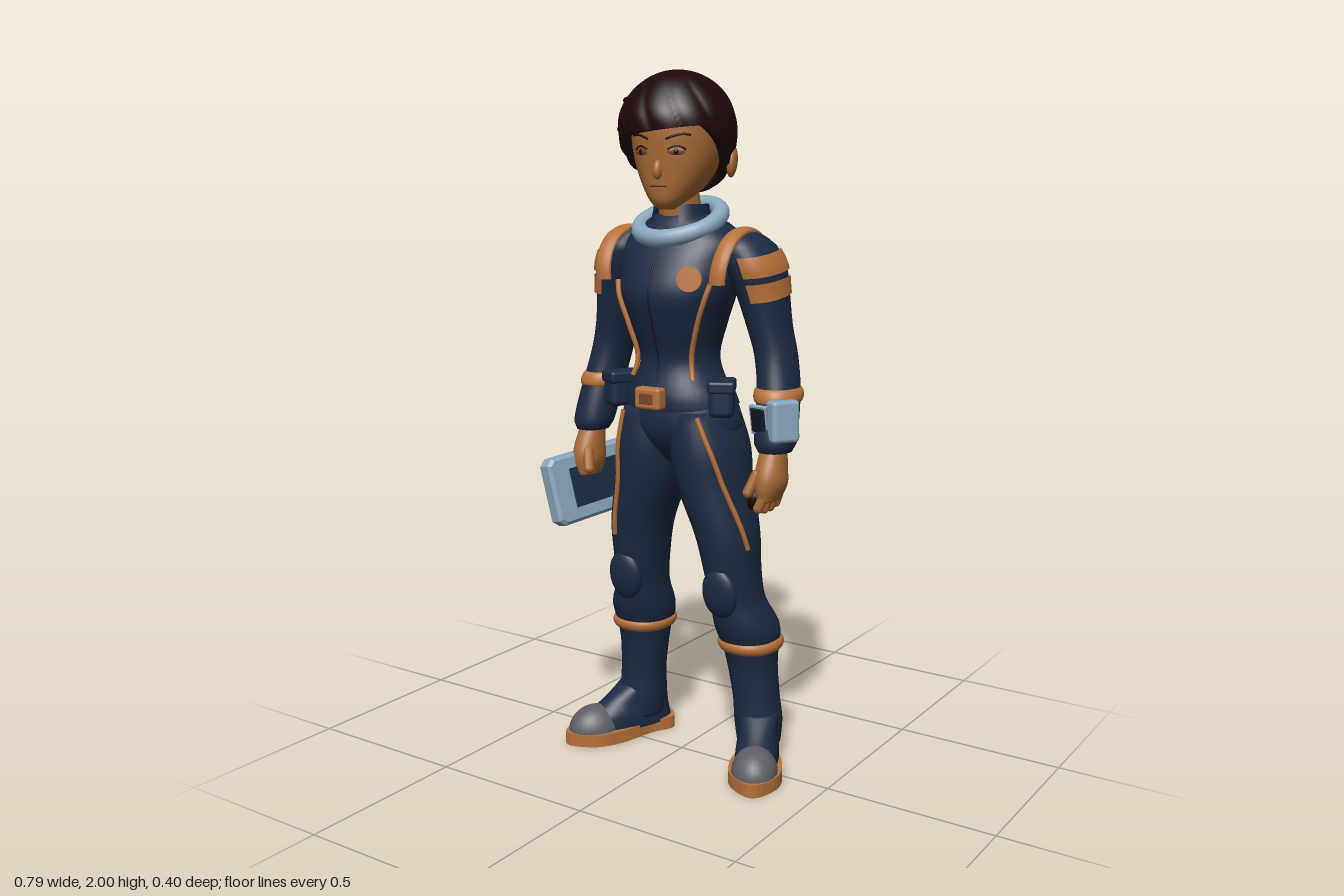
import * as THREE from 'three';
import { RoundedBoxGeometry } from 'three/addons/geometries/RoundedBoxGeometry.js';

const mat = (name, color) => Object.assign(
  new THREE.MeshStandardMaterial({ color, side: THREE.DoubleSide }), { name });
const navy = mat('navy cloth', 0x1c2a43), dark = mat('dark seam', 0x121a2a);
const orange = mat('orange trim', 0xb8723a), skin = mat('skin', 0xa96a34);
const steel = mat('pale blue metal', 0x89a8be), hairM = mat('dark hair', 0x200809);
const grey = mat('toe grey', 0x5f6066), lip = mat('lip brown', 0x7a4526);

// Cross-sections are [y, x, z, halfWidth, halfDepth], listed upward
const TORSO = [[1.04, .01, 0, .165, .135], [1.1, .008, .012, .15, .128], [1.2, .003, .01, .113, .11],
  [1.3, .003, .015, .135, .134], [1.39, .003, .016, .165, .153], [1.48, .003, -.005, .178, .145],
  [1.54, .003, -.018, .175, .125], [1.58, .003, -.02, .125, .11], [1.61, .003, -.01, .07, .075]];
const PELVIS = [[.88, .012, -.01, .03, .04], [.92, .012, -.005, .1, .09], [1.0, .012, 0, .172, .134], [1.1, .008, .01, .15, .125]];
const LEG = [[.35, .207, -.055, .076, .083], [.38, .205, -.055, .086, .094], [.43, .2, -.042, .09, .1],
  [.5, .185, -.02, .074, .09], [.58, .175, -.008, .074, .096], [.7, .16, 0, .085, .108],
  [.85, .115, 0, .1, .128], [.95, .1, 0, .102, .137], [1.06, .085, .005, .08, .125]];
const BOOT = [[.06, .234, -.065, .06, .07], [.13, .231, -.065, .068, .074], [.2, .225, -.062, .067, .07],
  [.3, .213, -.058, .072, .075], [.38, .207, -.055, .082, .09]];
const ARM = [[.96, .318, .008, .045, .052], [.98, .317, .005, .056, .062], [1.05, .31, -.015, .058, .068],
  [1.13, .3, -.04, .056, .07], [1.22, .282, -.055, .056, .07], [1.3, .262, -.052, .058, .076],
  [1.4, .24, -.046, .068, .09], [1.47, .222, -.04, .076, .1], [1.53, .197, -.035, .065, .09], [1.565, .185, -.03, .025, .04]];
const HAND = [[.825, .315, .03, .025, .05], [.87, .318, .028, .04, .06], [.91, .318, .025, .04, .055], [.98, .316, .008, .034, .038]];
const HEAD = [[1.622, 0, .105, .02, .025], [1.638, 0, .1, .042, .045], [1.67, 0, .068, .072, .085],
  [1.72, 0, .045, .102, .112], [1.77, 0, .035, .12, .125], [1.83, 0, .03, .128, .133], [1.9, 0, .03, .12, .125], [1.95, 0, .03, .07, .08]];

// Smooth interpolation between cross-sections
function at(S, y) {
  let i = 0;
  while (i < S.length - 2 && y > S[i + 1][0]) i++;
  const a = S[i], b = S[i + 1], h = b[0] - a[0], t = THREE.MathUtils.clamp((y - a[0]) / h, 0, 1);
  const slope = (j, k) => {
    const p = S[Math.max(j - 1, 0)], q = S[Math.min(j + 1, S.length - 1)];
    return (q[k] - p[k]) / (q[0] - p[0]);
  };
  return a.map((_, k) => k === 0 ? y :
    a[k] * (2 * t ** 3 - 3 * t * t + 1) + b[k] * (3 * t * t - 2 * t ** 3)
    + h * (slope(i, k) * (t ** 3 - 2 * t * t + t) + slope(i + 1, k) * (t ** 3 - t * t)));
}
// The stance is slightly uneven, so the right leg stands closer in
const legShift = y => .01 + .04 * (1 - y);
// Point on a lofted surface; angle runs from the front towards the outer side
function pt(S, y, a, off = 0, s = 1, shift = 0) {
  const [, x, z, rx, rz] = at(S, y), e = v => Math.sign(v) * Math.abs(v) ** .92;
  return new THREE.Vector3(s * (x + (rx + off) * e(Math.sin(a))) + (s < 0 ? shift : 0), y, z + (rz + off) * e(Math.cos(a)));
}
function grid(rows, cols, closed, fn, flip = false, cap = false) {
  const pos = [], idx = [], n = closed ? cols : cols + 1;
  const tri = (a, b, c) => flip ? idx.push(a, c, b) : idx.push(a, b, c);
  for (let i = 0; i <= rows; i++) for (let j = 0; j < n; j++) pos.push(...fn(i / rows, j / cols).toArray());
  for (let i = 0; i < rows; i++) for (let j = 0; j < cols; j++) {
    const a = i * n + j, b = i * n + (j + 1) % n;
    tri(a, b, b + n); tri(a, b + n, a + n);
  }
  if (cap) for (const r of [0, rows]) {
    const c = pos.length / 3, m = new THREE.Vector3();
    for (let j = 0; j < n; j++) m.add(fn(r / rows, j / cols));
    pos.push(...m.divideScalar(n).toArray());
    for (let j = 0; j < n; j++) r ? tri(r * n + j, r * n + (j + 1) % n, c) : tri((j + 1) % n, j, c);
  }
  const g = new THREE.BufferGeometry();
  g.setAttribute('position', new THREE.Float32BufferAttribute(pos, 3));
  g.setIndex(idx); g.computeVertexNormals();
  return g;
}
function add(parent, name, geo, m, p = [0, 0, 0], r = [0, 0, 0], s = [1, 1, 1]) {
  const o = new THREE.Mesh(geo, m);
  o.name = name; o.position.set(...p); o.rotation.set(...r); o.scale.set(...s);
  parent.add(o);
  return o;
}
function loft(parent, name, S, m, { y0 = S[0][0], y1 = S.at(-1)[0], a0, a1, off = 0, s = 1, shift, rows = 28, tilt = 0 } = {}) {
  const full = a0 === undefined, lo = full ? 0 : a0, hi = full ? Math.PI * 2 : a1;
  return add(parent, name, grid(rows, 36, full, (v, u) => {
    const a = lo + (hi - lo) * u, y = y0 + (y1 - y0) * v - tilt * Math.cos(a);
    return pt(S, y, a, off, s, shift ? shift(y) : 0);
  }, s < 0, full), m);
}
// Rounded band hugging a lofted limb
const band = (parent, name, S, y, h, bulge, m, s, shift = 0) => add(parent, name, grid(10, 40, true, (v, u) => {
  const b = (v - .5) * Math.PI;
  return pt(S, y + h * Math.sin(b), u * Math.PI * 2, bulge * Math.cos(b), s, shift);
}, s < 0), m);
const tube = (parent, name, pts, r, m) =>
  add(parent, name, new THREE.TubeGeometry(new THREE.CatmullRomCurve3(pts), 24, r, 8), m);
const steps = (n, f) => Array.from({ length: n + 1 }, (_, i) => f(i / n));
const ball = () => new THREE.SphereGeometry(1, 28, 18);
const box = (x, y, z) => new RoundedBoxGeometry(x, y, z, 3, Math.min(x, y, z) * .25);

function buildHead(root) {
  const g = new THREE.Group();
  g.name = 'head'; g.position.x = .008; g.rotation.y = .12;
  root.add(g);
  loft(g, 'face', HEAD, skin);
  add(g, 'nose', ball(), skin, [0, 1.73, .155], [-.25, 0, 0], [.014, .028, .019]);
  tube(g, 'mouth', steps(6, t => pt(HEAD, 1.686, -.28 + .56 * t, -.001)), .004, lip);
  for (const s of [-1, 1]) {
    const p = pt(HEAD, 1.777, .42, 0, s);
    add(g, 'eye', ball(), lip, p.toArray(), [0, s * .42, 0], [.024, .01, .004]);
    add(g, 'iris', ball(), hairM, [p.x, p.y, p.z + .002], [0, s * .42, 0], [.008, .008, .004]);
    tube(g, 'upperLash', steps(6, t => pt(HEAD, 1.782 + .01 * Math.sin(t * Math.PI), .22 + .42 * t, 0, s)), .0025, hairM);
    tube(g, 'eyebrow', steps(6, t => pt(HEAD, 1.81 + .013 * Math.sin(t * 2.2), .18 + .55 * t, -.001, s)), .0035, hairM);
    add(g, 'ear', ball(), skin, [s * .132, 1.752, -.035], [-.2, s * .35, 0], [.016, .045, .03]);
  }
  // Hair cap: high swept hairline in front, sideburns at the temples, low at the nape
  const line = a => {
    const c = Math.cos(a);
    return c > 0 ? 1.75 + .083 * Math.min(1, c * 1.6) + .016 * Math.sin(a) : 1.75 + .085 * c + .016 * Math.sin(a) * (1 + c);
  };
  add(g, 'hair', grid(40, 160, true, (v, u) => {
    const a = u * Math.PI * 2, h = line(a), w = Math.max(0, (v - .05) / .95), c = Math.max(0, Math.cos(a));
    const y = h + (2 - h) * Math.sin(w * Math.PI / 2), d = (y - 1.84) / .16;
    let r = d > 0 ? Math.sqrt(Math.max(0, 1 - d * d)) : 1 - .3 * d * d;
    const lock = Math.abs(Math.sin(a * 6 + y * 17));
    r *= 1 + (.045 * lock ** .7 - .03) * Math.min(1, r) + .045 * c * Math.exp(-(((y - 1.87) / .05) ** 2));
    if (v < .02) r *= .8;
    return new THREE.Vector3(.163 * r * Math.sin(a) - .006, y, .024 + .165 * r * Math.cos(a));
  }), hairM);
  // Loose tufts at the right temple
  for (let i = 0; i < 3; i++)
    add(g, 'templeTuft', ball(), hairM, [-.13, 1.855 + .03 * i, .07 - .02 * i], [0, 0, .45 - i * .3], [.045, .017, .03]);
}

function buildLeg(root, s) {
  const g = new THREE.Group(), o = { s, shift: legShift };
  g.name = s > 0 ? 'leftLeg' : 'rightLeg';
  root.add(g);
  loft(g, 'trouserLeg', LEG, navy, o);
  loft(g, 'bootShaft', BOOT, navy, o);
  band(g, 'bootCuff', BOOT, .366, .018, .013, orange, s, legShift(.366));
  tube(g, 'trouserStripe', steps(10, t => {
    const y = 1.05 - .38 * t;
    return pt(LEG, y, .5 + (s > 0 ? .8 : -.2) * t, .002, s, legShift(y));
  }), .0075, orange);
  const k = pt(LEG, .54, 0, 0, s, legShift(.54));
  add(g, 'kneePad', ball(), navy, [k.x, .54, k.z - .005], [.12, 0, 0], [.056, .075, .025]);
  add(g, 'kneeSeam', new THREE.TorusGeometry(.052, .003, 8, 32), dark, [k.x, .54, k.z - .001], [.12, 0, 0], [1, 1.35, 1]);

  // Foot, pointing outward
  const f = new THREE.Group();
  f.name = 'foot';
  f.position.set(s * .234 + (s < 0 ? legShift(.1) : 0), 0, -.065); f.rotation.y = s * .46;
  g.add(f);
  const half = [[.05, -.08], [.053, 0], [.076, .11], [.067, .2]];
  const shape = new THREE.Shape().setFromPoints(new THREE.SplineCurve([[0, -.103], ...half, [0, .267],
    ...half.map(([x, z]) => [-x, z]).reverse(), [0, -.103]].map(p => new THREE.Vector2(...p))).getPoints(48));
  add(f, 'sole', new THREE.ExtrudeGeometry(shape, { depth: .038, bevelEnabled: false }), orange, [0, .038, 0], [Math.PI / 2, 0, 0]);
  loft(f, 'bootUpper', [[.03, 0, .07, .064, .165], [.07, 0, .06, .062, .145], [.11, 0, .03, .056, .11], [.16, 0, 0, .062, .07]], navy);
  add(f, 'toeCap', new THREE.SphereGeometry(1, 28, 10, 0, Math.PI * 2, 0, Math.PI / 2), grey, [0, .034, .168], [0, 0, 0], [.067, .073, .085]);
}

function buildArm(root, s) {
  const g = new THREE.Group();
  g.name = s > 0 ? 'leftArm' : 'rightArm';
  root.add(g);
  loft(g, 'sleeve', ARM, navy, { s });
  band(g, 'sleeveBand', ARM, 1.113, .02, .009, orange, s);
  for (const [y0, y1, a0, a1] of [[1.452, 1.508, .1, 2.4], [1.385, 1.435, .1, 2.1]])
    loft(g, 'shoulderPatch', ARM, orange, { y0, y1, a0, a1, s, off: .006, rows: 6, tilt: .016 });
  // Flat band arching over the shoulder seam
  add(g, 'shoulderBand', grid(40, 12, true, (v, u) => {
    const a = -.1 + v * (Math.PI + .4), b = u * Math.PI * 2, r = .012 * Math.sin(b);
    const x = .196 + .026 * Math.cos(b) - .012 * (1 - Math.sin(a)) + .008 * Math.cos(a);
    return new THREE.Vector3(s * x, 1.435 + (.128 + r) * Math.sin(a), -.02 + (.134 + r) * Math.cos(a));
  }, s < 0), orange);
  // Hand: fingers hang on the left and press the tablet on the right
  loft(g, 'palm', HAND, skin, { s });
  for (let i = 0; i < 4; i++)
    add(g, 'finger', new THREE.CapsuleGeometry(.0145, .06, 5, 10), skin,
      [s > 0 ? .316 : -.36, .825 + Math.abs(i - 1.5) * .006, -.018 + i * .029], [.1 * (1.5 - i), 0, s > 0 ? -.4 : .12]);
  add(g, 'thumb', new THREE.CapsuleGeometry(.015, .055, 5, 10), skin, [s * .285, .875, .075], [-.35, 0, s * -.3]);
}

export function createModel() {
  const root = new THREE.Group();
  root.name = 'suited explorer';
  buildHead(root);
  add(root, 'neck', new THREE.CylinderGeometry(.056, .066, .16, 24), skin, [.004, 1.61, .012], [.15, 0, 0]);

  // Jacket
  loft(root, 'jacket', TORSO, navy, { rows: 40 });
  loft(root, 'innerCollar', [[1.55, .003, .0, .1, .1], [1.6, .003, .005, .08, .085], [1.635, .003, .004, .074, .078]], navy, { a0: .5, a1: Math.PI * 2 - .5 });
  add(root, 'collarRing', new THREE.TorusGeometry(.117, .025, 14, 48), steel, [.002, 1.588, .01], [Math.PI / 2 + .4, 0, 0]);
  tube(root, 'zip', steps(12, t => pt(TORSO, 1.55 - .41 * t, 0, .001)), .003, dark);
  for (const s of [-1, 1]) {
    tube(root, 'jacketPiping', steps(12, t => pt(TORSO, 1.42 - .27 * t, 1.05 - .25 * t, .003, s)), .0075, orange);
    add(root, 'beltPouch', box(.07, .09, .1), navy, [s * .17 + .012, 1.1, .07], [0, s * .5, 0]);
    add(root, 'pouchFlap', box(.076, .035, .106), navy, [s * .17 + .012, 1.14, .07], [0, s * .5, 0]);
    buildLeg(root, s);
    buildArm(root, s);
  }
  add(root, 'chestBadge', new THREE.CylinderGeometry(.035, .035, .024, 24), orange,
    pt(TORSO, 1.435, .65, 0).toArray(), [Math.PI / 2 - .1, 0, -.45]);

  // Hips and belt
  loft(root, 'hips', PELVIS, navy);
  loft(root, 'frontBelt', TORSO, navy, { y0: 1.075, y1: 1.13, a0: -1.9, a1: 1.9, off: .014, rows: 4 });
  loft(root, 'backBelt', TORSO, orange, { y0: 1.083, y1: 1.123, a0: 1.9, a1: Math.PI * 2 - 1.9, off: .007, rows: 4 });
  add(root, 'buckle', box(.085, .062, .04), orange, [.01, 1.103, .172]);
  add(root, 'bucklePlate', box(.045, .03, .008), lip, [.01, 1.103, .191]);

  // Wrist device facing forward and outward on the left forearm
  add(root, 'wristDevice', box(.05, .118, .085), steel, [.352, 1.05, .026], [0, -.55, .04]);
  add(root, 'controlPanel', box(.046, .07, .016), dark, [.294, 1.052, .056], [.2, -.1, 0]);
  add(root, 'controlPanelRim', box(.058, .085, .014), steel, [.294, 1.052, .053], [.2, -.1, 0]);
  // Dark grip curled inside the left hand
  add(root, 'handGrip', ball(), hairM, [.278, .825, .04], [0, 0, -.4], [.02, .036, .03]);

  // Tablet in the right hand
  const t = new THREE.Group();
  t.name = 'tablet'; t.position.set(-.315, .797, -.012); t.rotation.set(.1, -.23, .2, 'YXZ');
  root.add(t);
  const corners = [[-.18, -.08], [-.165, -.093], [.165, -.093], [.18, -.08], [.18, .08], [.165, .093], [-.165, .093], [-.18, .08]];
  add(t, 'tabletCase', new THREE.ExtrudeGeometry(new THREE.Shape(corners.map(p => new THREE.Vector2(...p))),
    { depth: .036, bevelSize: .01, bevelThickness: .008, bevelSegments: 1 }), steel, [-.018, 0, 0], [0, Math.PI / 2, 0]);
  for (const s of [-1, 1]) add(t, 'tabletPanel', box(.006, .12, .24), navy, [s * .026, 0, 0]);
  return root;
}
